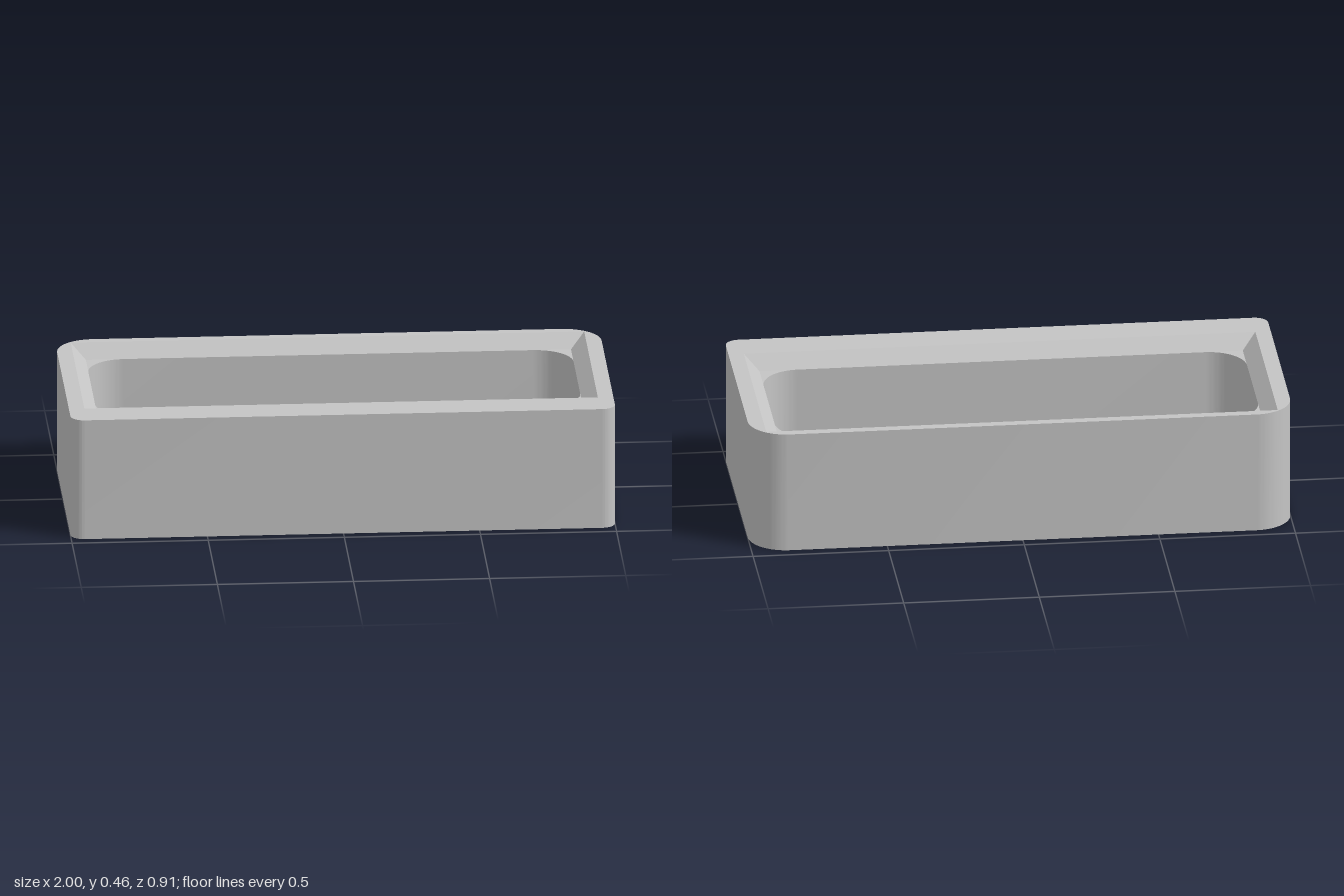
import * as THREE from 'three';
import { toCreasedNormals } from 'three/addons/utils/BufferGeometryUtils.js';

const HEIGHT = 0.46, LEDGE = 0.41;

// Plan outline drawn counter-clockwise; plan y points to the back (-z).
function outline(x, front, back, rFront = 0, rBack = 0) {
  const s = new THREE.Shape();
  const corner = (cx, cy, r, start) => {
    if (r) s.absarc(cx, cy, r, start, start + Math.PI / 2, false);
    else s.lineTo(cx, cy);
  };
  s.moveTo(-x + rFront, -front);
  corner(x - rFront, -front + rFront, rFront, -Math.PI / 2);
  corner(x - rBack, -back - rBack, rBack, 0);
  corner(-x + rBack, -back - rBack, rBack, Math.PI / 2);
  corner(-x + rFront, -front + rFront, rFront, Math.PI);
  return s;
}

// Wall joining a lower loop to an upper loop, facing outward or inward.
function wall(lower, upper, y0, y1, inward) {
  const a = lower.getPoints(16), b = upper.getPoints(16), pos = [];
  const put = (p, y) => pos.push(p.x, y, -p.y);
  for (let i = 0; i < a.length; i++) {
    const j = (i + 1) % a.length;
    if (a[i].distanceTo(a[j]) < 1e-6) continue;
    const [s, e] = inward ? [j, i] : [i, j];
    put(a[s], y0); put(a[e], y0); put(b[e], y1);
    put(a[s], y0); put(b[e], y1); put(b[s], y1);
  }
  const g = new THREE.BufferGeometry();
  g.setAttribute('position', new THREE.Float32BufferAttribute(pos, 3));
  return toCreasedNormals(g, Math.PI / 7);
}

// Flat ring at height y, facing up or down.
function ring(outer, hole, y, down) {
  const shape = outer.clone();
  shape.holes = [hole];
  const g = new THREE.ShapeGeometry(shape, 16);
  if (down) {
    const idx = g.index.array;
    for (let i = 0; i < idx.length; i += 3) [idx[i], idx[i + 1]] = [idx[i + 1], idx[i]];
    g.computeVertexNormals();
  }
  return g.rotateX(-Math.PI / 2).translate(0, y, 0);
}

export function createModel() {
  const group = new THREE.Group();
  group.name = 'bezelFrame';
  const grey = new THREE.MeshStandardMaterial({ color: 0xc4c4c4 });
  grey.name = 'grey';
  const add = (name, geometry) => {
    const mesh = new THREE.Mesh(geometry, grey);
    mesh.name = name;
    group.add(mesh);
  };

  const body = outline(1, 0.457, -0.457, 0.05, 0.14);
  const opening = outline(0.891, 0.27, -0.37, 0.14, 0.14);
  const bevelBottom = outline(0.891, 0.27, -0.37);
  const bevelTop = outline(0.943, 0.323, -0.423);
  const ledgeEdge = outline(0.896, 0.275, -0.375); // tucked just behind the bevel

  add('outerWall', wall(body, body, 0, HEIGHT, false));
  add('innerWall', wall(opening, opening, 0, LEDGE, true));
  add('bevel', wall(bevelBottom, bevelTop, LEDGE, HEIGHT, true));
  add('cornerLedges', ring(ledgeEdge, opening, LEDGE, false));
  add('topRim', ring(body, bevelTop, HEIGHT, false));
  add('underside', ring(body, opening, 0, true));
  return group;
}
